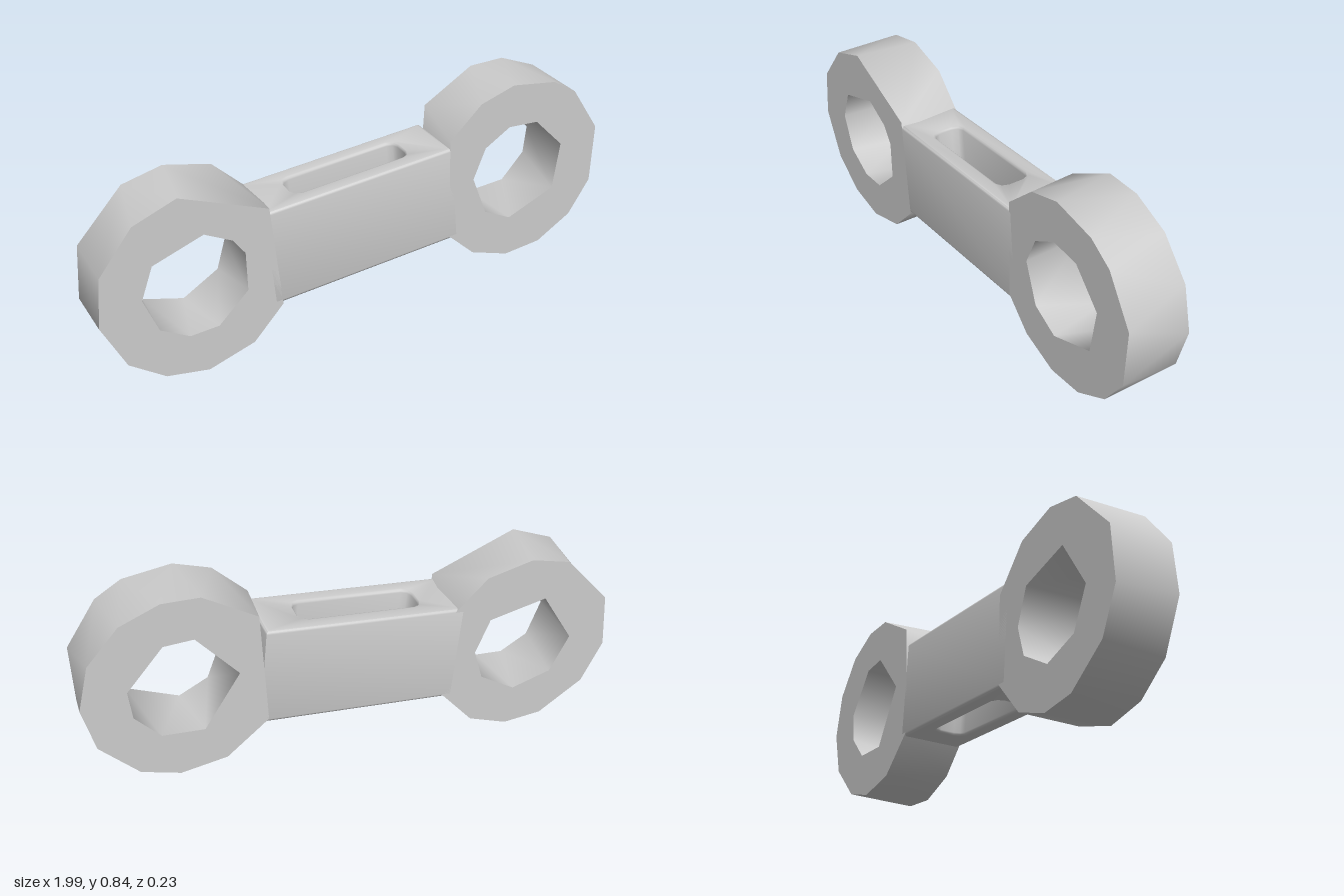
import * as THREE from 'three';
import { toCreasedNormals } from 'three/addons/utils/BufferGeometryUtils.js';

const HALF = 0.117;     // half thickness along z
const OUTER = 0.357;    // ring radius
const INNER = 0.197;    // eye radius
const material = new THREE.MeshStandardMaterial({ color: 0xcccccc });

const onCircle = (radius, deg) => {
  const a = THREE.MathUtils.degToRad(deg);
  return new THREE.Vector2(radius * Math.cos(a), radius * Math.sin(a));
};

// Wall joining a front and a back polygon of one circle, with round shading.
function wall(radius, front, back, inward) {
  const position = [], normal = [];
  const sign = inward ? -1 : 1;
  const at = (list, i) => list[i % list.length] + 360 * Math.floor(i / list.length);
  const corner = (deg, z) => {
    const p = onCircle(radius, deg);
    position.push(p.x, p.y, z);
    normal.push(sign * p.x / radius, sign * p.y / radius, 0);
  };
  let i = 0, j = 0;
  while (i < front.length || j < back.length) {
    const stepFront = j >= back.length || (i < front.length && at(front, i + 1) <= at(back, j + 1));
    const tri = [
      [at(front, i), HALF],
      [at(back, j), -HALF],
      stepFront ? [at(front, i + 1), HALF] : [at(back, j + 1), -HALF],
    ];
    if (inward) tri.reverse();
    tri.forEach(([deg, z]) => corner(deg, z));
    if (stepFront) i++; else j++;
  }
  const geometry = new THREE.BufferGeometry();
  geometry.setAttribute('position', new THREE.Float32BufferAttribute(position, 3));
  geometry.setAttribute('normal', new THREE.Float32BufferAttribute(normal, 3));
  return geometry;
}

// Flat ring face with a polygonal eye.
function face(outer, inner, isBack) {
  // The back is drawn mirrored, then turned round to face -z.
  const points = (radius, list) => list.map((deg) => onCircle(radius, isBack ? 180 - deg : deg));
  const shape = new THREE.Shape(points(OUTER, outer));
  shape.holes.push(new THREE.Path(points(INNER, inner)));
  const geometry = new THREE.ShapeGeometry(shape);
  if (isBack) geometry.rotateY(Math.PI);
  return geometry.translate(0, 0, isBack ? -HALF : HALF);
}

function ring(name, x, y, { outerFront, outerBack, eyeFront, eyeBack }) {
  const group = new THREE.Group();
  group.name = name;
  group.position.set(x, y, 0);
  const parts = {
    outerWall: wall(OUTER, outerFront, outerBack, false),
    eyeWall: wall(INNER, eyeFront, eyeBack, true),
    frontFace: face(outerFront, eyeFront, false),
    backFace: face(outerBack, eyeBack, true),
  };
  for (const [part, geometry] of Object.entries(parts)) {
    const mesh = new THREE.Mesh(geometry, material);
    mesh.name = part;
    group.add(mesh);
  }
  return group;
}

// Slot outline with cut corners.
function slotPath(hx, hy, c) {
  const quarter = [[hx, hy - c], [hx - c * 0.3, hy - c * 0.3], [hx - c, hy]];
  const mirrored = quarter.map(([x, y]) => [-x, y]).reverse();
  const top = [...quarter, ...mirrored];
  const all = [...top, ...top.map(([x, y]) => [-x, -y])];
  return new THREE.Path(all.map(([x, y]) => new THREE.Vector2(x, y)));
}

// Connecting bar with a slot through its height and softened edges.
function bar() {
  const hx = 0.37, height = 0.378, bevel = 0.012;
  const shape = new THREE.Shape([
    new THREE.Vector2(-hx, -HALF), new THREE.Vector2(hx, -HALF),
    new THREE.Vector2(hx, HALF), new THREE.Vector2(-hx, HALF),
  ]);
  shape.holes.push(slotPath(0.228, 0.057, 0.03));
  const geometry = new THREE.ExtrudeGeometry(shape, {
    depth: height - 2 * bevel,
    bevelEnabled: true,
    bevelThickness: bevel,
    bevelSize: bevel,
    bevelOffset: -bevel,
    bevelSegments: 3,
  });
  geometry.translate(0, 0, bevel - height / 2).rotateX(-Math.PI / 2);
  const mesh = new THREE.Mesh(toCreasedNormals(geometry, 0.9), material);
  mesh.name = 'slottedBar';
  mesh.position.set(-0.003, 0.415, 0);
  mesh.rotation.z = Math.atan2(0.13, 1.29);
  return mesh;
}

export function createModel() {
  const model = new THREE.Group();
  model.name = 'linkArm';
  // Corner angles in degrees for each end of the arm
  model.add(ring('lowerRing', -0.643, 0.355, {
    outerFront: [40, 98, 126, 159, 190, 222, 248, 274, 304, 332],
    outerBack: [30, 63, 92, 117, 159, 193, 221, 254, 278, 304, 335],
    eyeFront: [24, 46, 80, 141, 180, 223, 259, 291, 339],
    eyeBack: [2, 44, 113, 184, 231, 278, 326],
  }));
  model.add(ring('upperRing', 0.643, 0.48, {
    outerFront: [17, 50, 68, 97, 120, 148, 215, 239, 265, 289, 315, 340],
    outerBack: [0, 28, 56, 81, 103, 140, 215, 248, 276, 300, 332],
    eyeFront: [20, 70, 105, 140, 177, 226, 262, 325],
    eyeBack: [10, 72, 104, 175, 252, 298, 338],
  }));
  model.add(bar());
  return model;
}
